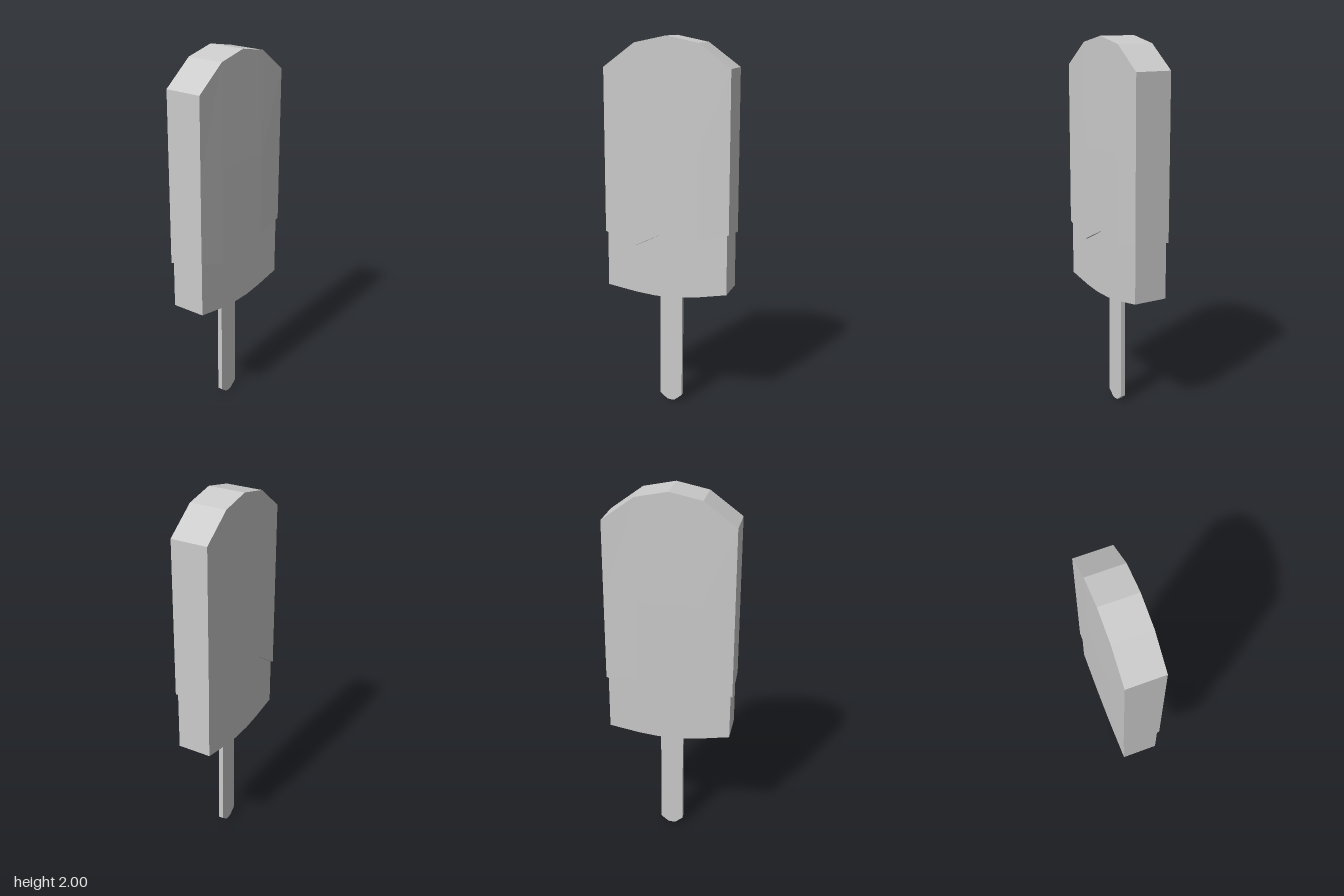
import * as THREE from 'three';

const material = new THREE.MeshStandardMaterial({ color: 0xcccccc, flatShading: true });

// Flat outline [x, y] extruded symmetrically about z = 0
function slab(name, outline, depth) {
  const shape = new THREE.Shape(outline.map(([x, y]) => new THREE.Vector2(x, y)));
  const geometry = new THREE.ExtrudeGeometry(shape, { depth, bevelEnabled: false });
  geometry.translate(0, 0, -depth / 2);
  const mesh = new THREE.Mesh(geometry, material);
  mesh.name = name;
  return mesh;
}

// Coating shell: rings of five front and five back points, from the top edge down
function coating() {
  const xs = [-0.34, -0.17, 0, 0.17, 0.34];
  const topY = [1.84, 1.965, 2, 1.965, 1.84];
  const frontDrip = [0.97, 0.905, 0.985, 0.955, 0.995];
  const backDrip = [0.92, 1.03, 0.927, 0.983, 0.97];
  const frontZ = [0.1, 0.103, 0.103, 0.103, 0.1];
  const backZ = [-0.101, -0.105, -0.105, -0.105, -0.101];

  const ring = (front, back) => [
    ...xs.map((x, i) => front(x, i)),
    ...xs.map((x, i) => back(x, i)).reverse(),
  ];
  const rows = [
    ring((x, i) => [x, topY[i], 0.1], (x, i) => [x, topY[i], -0.101]),
    ring((x, i) => [x, 1.42, frontZ[i]], (x, i) => [x, 1.42, backZ[i]]),
    ring((x, i) => [x, frontDrip[i], frontZ[i]], (x, i) => [x, backDrip[i], backZ[i]]),
    // underside lip turned in to the body
    ring((x, i) => [x * 0.96, frontDrip[i], 0.09], (x, i) => [x * 0.96, backDrip[i], -0.09]),
  ];

  const positions = [];
  const quad = (a, b, c, d) => positions.push(...a, ...b, ...c, ...a, ...c, ...d);
  for (let r = 0; r < rows.length - 1; r++) {
    for (let i = 0; i < 10; i++) {
      const j = (i + 1) % 10;
      quad(rows[r + 1][i], rows[r + 1][j], rows[r][j], rows[r][i]);
    }
  }
  // arched top
  const top = rows[0];
  for (let i = 0; i < 4; i++) quad(top[i], top[i + 1], top[8 - i], top[9 - i]);

  const geometry = new THREE.BufferGeometry();
  geometry.setAttribute('position', new THREE.Float32BufferAttribute(positions, 3));
  geometry.computeVertexNormals();
  const mesh = new THREE.Mesh(geometry, material);
  mesh.name = 'coating';
  return mesh;
}

export function createModel() {
  const model = new THREE.Group();
  model.name = 'icePop';

  model.add(coating());

  // Ice body with a gently curved underside
  model.add(slab('iceBody', [
    [-0.33, 0.67], [-0.17, 0.642], [-0.06, 0.63], [0.06, 0.63], [0.17, 0.642], [0.33, 0.67],
    [0.33, 1.2], [-0.33, 1.2],
  ], 0.186));

  // Stick with a chamfered end
  model.add(slab('stick', [
    [-0.062, 0.035], [-0.022, 0.003], [0, 0], [0.022, 0.003], [0.062, 0.035],
    [0.062, 0.72], [-0.062, 0.72],
  ], 0.026));

  return model;
}
